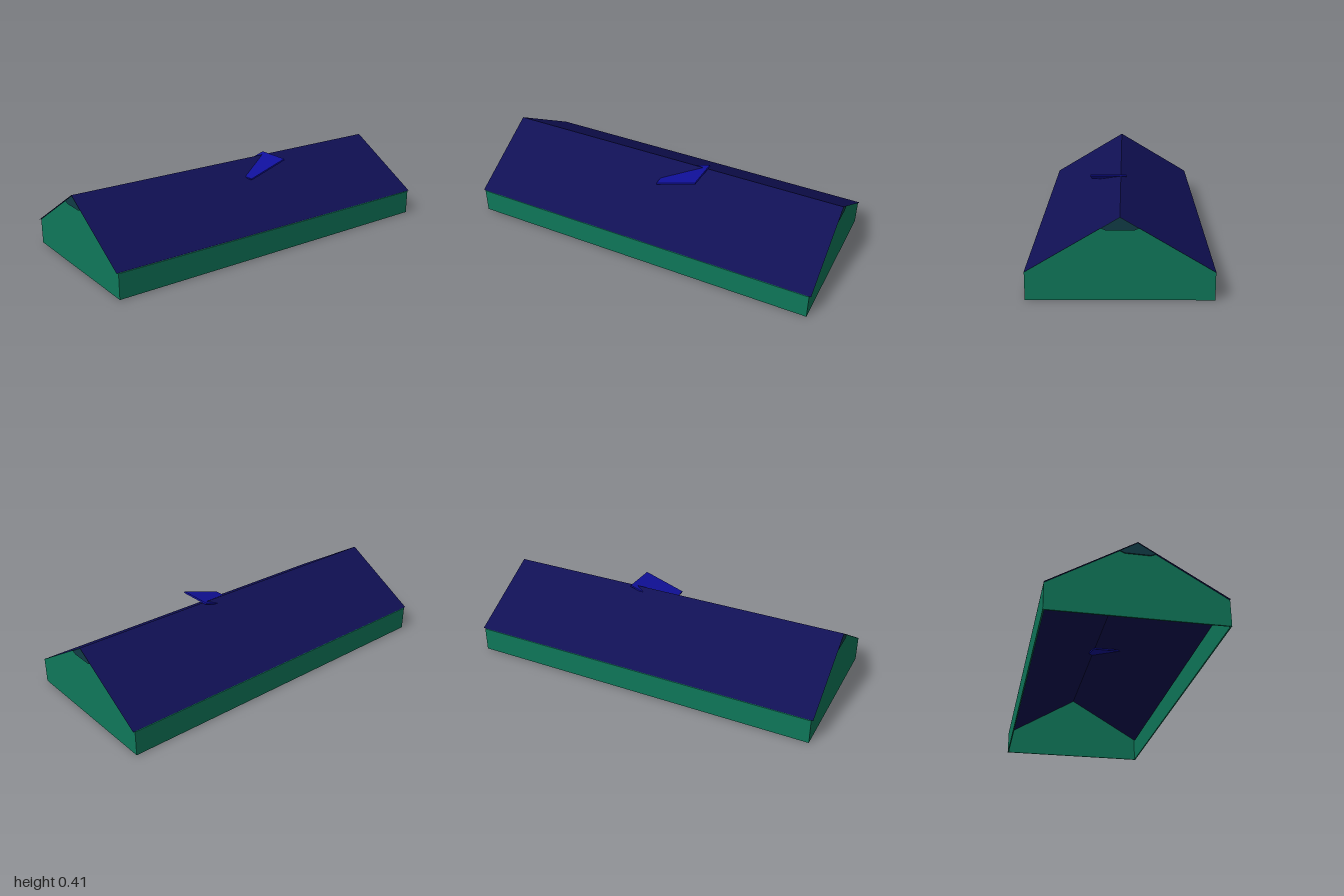
import * as THREE from 'three';

const mat = (name, color, side = THREE.FrontSide) => {
  const m = new THREE.MeshStandardMaterial({ color, side });
  m.name = name;
  return m;
};

export function createModel() {
  const green = mat('green wall', 0x0f785a);
  const navy = mat('navy roof', 0x101054, THREE.DoubleSide);
  const blue = mat('blue panel', 0x10109a);
  const teal = mat('dark teal trim', 0x113b46);

  const HALF_X = 1, WALL_X = 0.99, HALF_Z = 0.437, EAVE = 0.138, RIDGE = 0.4, T = 0.007;
  const group = new THREE.Group();
  const add = (name, geometry, material, x = 0, y = 0, z = 0) => {
    const mesh = new THREE.Mesh(geometry, material);
    mesh.name = name;
    mesh.position.set(x, y, z);
    group.add(mesh);
    return mesh;
  };

  // Outline in (z, y), extruded along x and centred on its own thickness
  const endPlate = (points, depth) => {
    const shape = new THREE.Shape(points.map(([z, y]) => new THREE.Vector2(z, y)));
    return new THREE.ExtrudeGeometry(shape, { depth, bevelEnabled: false })
      .translate(0, 0, -depth / 2).rotateY(Math.PI / 2);
  };

  // Gable ends with a small trim plate under each peak
  const gable = endPlate([[-HALF_Z, 0], [HALF_Z, 0], [HALF_Z, EAVE - 0.001],
    [0, RIDGE - 0.001], [-HALF_Z, EAVE - 0.001]], T);
  const trim = endPlate([[-0.062, 0.336], [0.062, 0.336], [0.086, 0.346],
    [0, 0.398], [-0.086, 0.346]], 0.006);
  for (const s of [1, -1]) {
    const side = s > 0 ? 'left' : 'right';
    add(side + 'GableWall', gable, green, s * (WALL_X - T / 2));
    add(side + 'PeakTrim', trim, teal, s * (WALL_X + 0.003));
  }

  // Long low walls, open underneath, and the two thin roof slopes
  const pitch = Math.atan2(RIDGE - EAVE, HALF_Z);
  const slope = Math.hypot(RIDGE - EAVE, HALF_Z);
  for (const s of [1, -1]) {
    const side = s > 0 ? 'front' : 'back';
    add(side + 'Wall', new THREE.BoxGeometry(2 * (WALL_X - T), EAVE - 0.004, T), green,
      0, (EAVE - 0.004) / 2, s * (HALF_Z - T / 2));
    const roof = new THREE.PlaneGeometry(2 * HALF_X, slope).rotateX(-Math.PI / 2).rotateX(s * pitch);
    add(side + 'RoofSlope', roof, navy, 0, (RIDGE + EAVE) / 2, s * HALF_Z / 2);
  }

  // Tilted panel set into the ridge
  const panel = add('tiltedPanel', new THREE.BoxGeometry(0.245, 0.009, 0.194), blue, 0.118, 0.367, 0.068);
  panel.rotation.z = Math.atan2(0.075, 0.235);

  return group;
}
